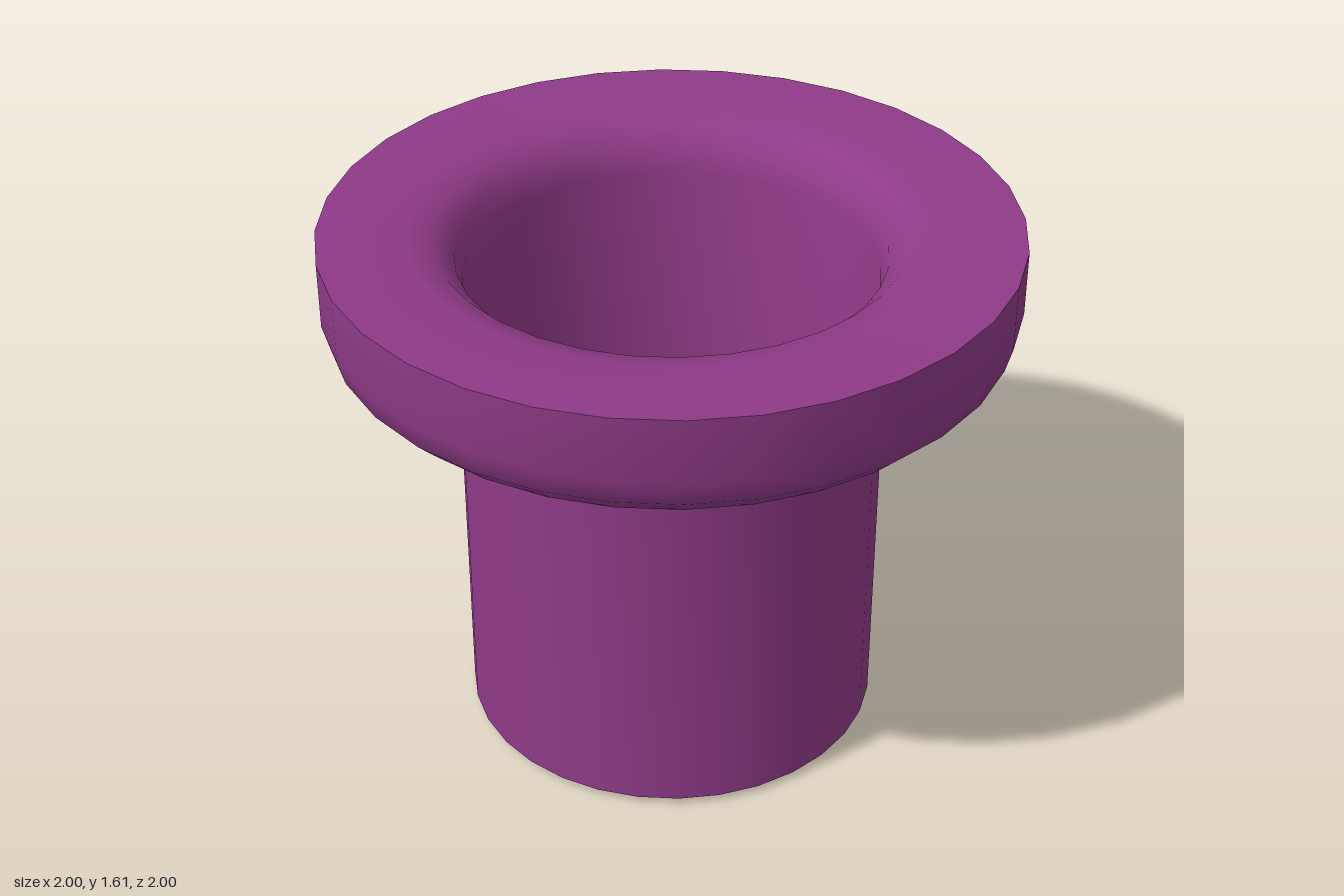
import * as THREE from 'three';
import { toCreasedNormals } from 'three/addons/utils/BufferGeometryUtils.js';

const SIDES = 32;
const BORE = 0.595, SHAFT = 0.62, FLANGE = 1, ROUND = 0.15;
const PLUG_TOP = 0.02, FLANGE_BOTTOM = 1.265, TOP = 1.61;

// Quarter-round profile points around (cx, cy), angles in degrees
function arc(cx, cy, from, to, steps = 3) {
  return Array.from({ length: steps + 1 }, (_, i) => {
    const a = THREE.MathUtils.degToRad(from + (to - from) * i / steps);
    return [cx + ROUND * Math.cos(a), cy + ROUND * Math.sin(a)];
  });
}

export function createModel() {
  const group = new THREE.Group();
  const material = new THREE.MeshStandardMaterial({ color: 0x8e3a87 });

  // Flanged sleeve: shaft, rounded flange underside, flat top, rounded bore mouth
  const profile = [
    [BORE, PLUG_TOP],
    [SHAFT, PLUG_TOP],
    [SHAFT, FLANGE_BOTTOM],
    ...arc(FLANGE - ROUND, FLANGE_BOTTOM + ROUND, -90, 0),
    [FLANGE, TOP],
    ...arc(BORE + ROUND, TOP - ROUND, 90, 180),
    [BORE, PLUG_TOP],
  ].map(([r, y]) => new THREE.Vector2(r, y));
  const sleeve = new THREE.Mesh(
    toCreasedNormals(new THREE.LatheGeometry(profile, SIDES), 0.6), material);
  sleeve.name = 'flangedSleeve';
  group.add(sleeve);

  // Thin disc closing the bore, standing slightly proud below the shaft
  const plug = new THREE.Mesh(
    new THREE.CylinderGeometry(BORE, BORE, PLUG_TOP, SIDES), material);
  plug.position.y = PLUG_TOP / 2;
  plug.name = 'boreFloor';
  group.add(plug);

  return group;
}
